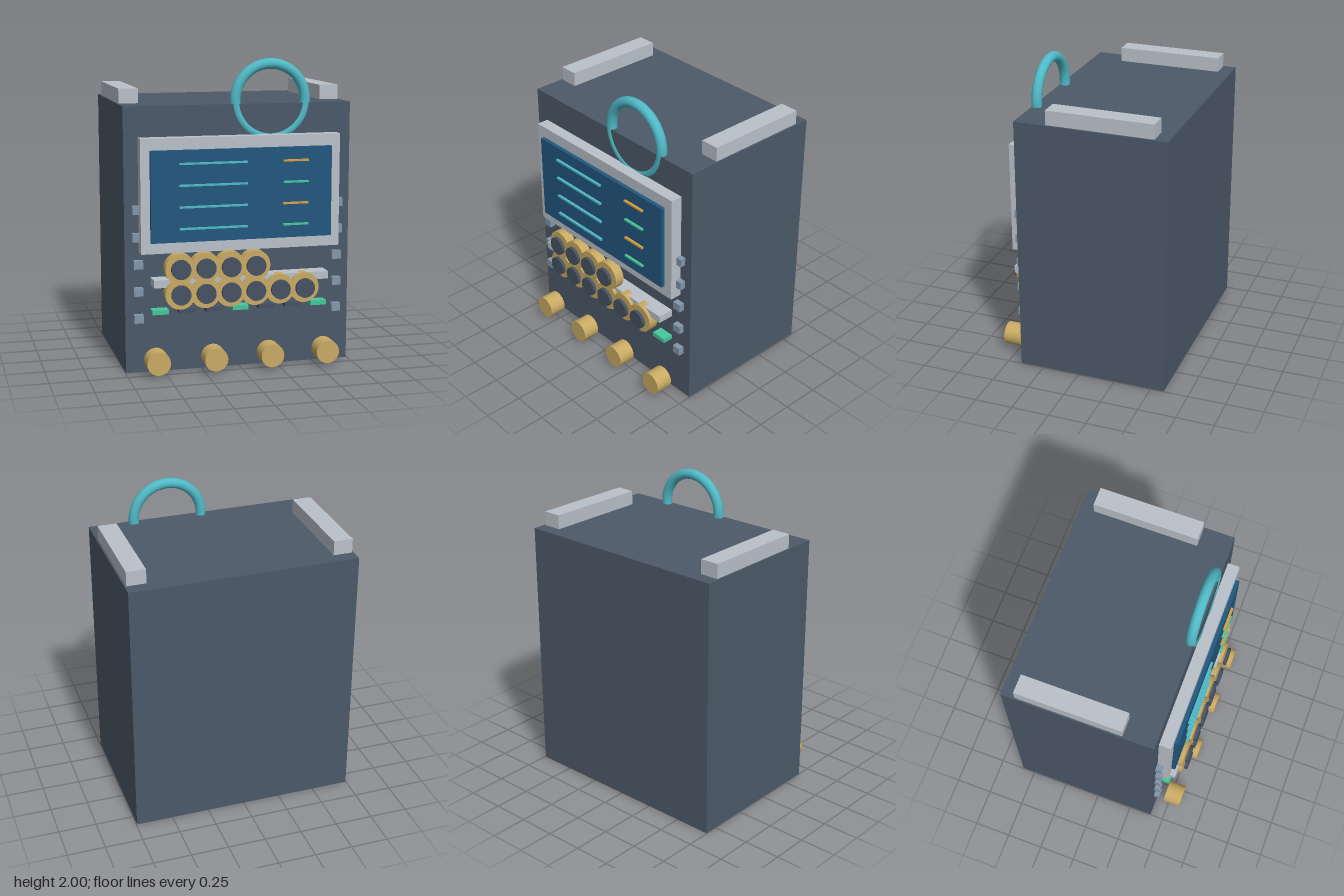
import * as THREE from 'three';

const paint = (name, color) => {
  const m = new THREE.MeshStandardMaterial({ color });
  m.name = name;
  return m;
};

export function createModel() {
  const slate = paint('slate casing', 0x4c5969);
  const silver = paint('silver trim', 0xbac1c9);
  const gold = paint('brushed gold', 0xc9aa63);
  const teal = paint('teal', 0x4fb9c6);
  const screenBlue = paint('screen blue', 0x22587f);
  const green = paint('green light', 0x45c79c);
  const amber = paint('amber light', 0xd6a040);
  const steel = paint('steel blue', 0x8296aa);
  const charcoal = paint('charcoal', 0x465264);

  const model = new THREE.Group();
  model.name = 'controlConsole';

  const group = (name) => {
    const g = new THREE.Group();
    g.name = name;
    model.add(g);
    return g;
  };
  const add = (parent, name, geometry, material, x, y, z) => {
    const mesh = new THREE.Mesh(geometry, material);
    mesh.name = name;
    mesh.position.set(x, y, z);
    parent.add(mesh);
    return mesh;
  };
  // Box given by its limits on each axis
  const box = (parent, name, material, [x0, x1], [y0, y1], [z0, z1]) =>
    add(parent, name, new THREE.BoxGeometry(x1 - x0, y1 - y0, z1 - z0), material,
      (x0 + x1) / 2, (y0 + y1) / 2, (z0 + z1) / 2);
  // Round disc facing the front
  const disc = (parent, name, material, radius, x, y, z0, z1) =>
    add(parent, name, new THREE.CylinderGeometry(radius, radius, z1 - z0, 32).rotateX(Math.PI / 2),
      material, x, y, (z0 + z1) / 2);

  const front = 0.408;

  // Casing and the two rails on its roof
  box(model, 'casing', slate, [-0.747, 0.745], [0, 1.715], [-0.588, front]);
  const rails = group('roofRails');
  for (const side of [-1, 1]) {
    const x = side * 0.672 - 0.002;
    box(rails, side < 0 ? 'rightRail' : 'leftRail', silver,
      [x - 0.063, x + 0.063], [1.71, 1.81], [-0.5, 0.2]);
  }

  // Ring handle, half sunk into the casing with its front edge showing
  add(model, 'ringHandle', new THREE.TorusGeometry(0.232, 0.034, 16, 64), teal, 0.214, 1.734, 0.381);

  // Screen, its frame and the readout lines
  const display = group('display');
  box(display, 'screenFrame', silver, [-0.655, 0.652], [0.788, 1.519], [front - 0.01, 0.488]);
  box(display, 'screen', screenBlue, [-0.595, 0.59], [0.86, 1.444], [0.48, 0.514]);
  for (let i = 0; i < 4; i++) {
    const y = 1.36 - i * 0.1375;
    box(display, 'longReadout', teal, [-0.415, 0.026], [y - 0.006, y + 0.006], [0.518, 0.535]);
    box(display, 'shortReadout', i % 2 ? green : amber,
      [0.262, 0.429], [y - 0.006, y + 0.006], [0.518, 0.535]);
  }

  // Column of small buttons down each side
  const buttons = group('sideButtons');
  for (const x of [-0.664, 0.656]) {
    for (let i = 0; i < 5; i++) {
      const y = 1.064 - i * 0.176;
      // The upper two sit a little further out, beside the frame
      const cx = x + (i < 2 ? Math.sign(x) * 0.006 : 0);
      box(buttons, 'sideButton', steel, [cx - 0.03, cx + 0.03], [y - 0.027, y + 0.027], [front - 0.01, 0.446]);
    }
  }

  // Two rows of dials in front of a silver bar
  const dials = group('dials');
  box(dials, 'dialBar', silver, [-0.58, 0.574], [0.573, 0.623], [front - 0.01, 0.516]);
  for (const [count, y] of [[4, 0.693], [6, 0.529]]) {
    for (let i = 0; i < count; i++) {
      const x = -0.413 + i * 0.1637;
      disc(dials, 'dialRim', gold, 0.098, x, y, 0.473, 0.538);
      disc(dials, 'dialFace', charcoal, 0.063, x, y, 0.547, 0.569);
    }
  }

  // Row of keys, every third one lit
  const keys = group('keys');
  for (let i = 0; i < 7; i++) {
    const x = -0.531 + i * 0.1757;
    box(keys, i % 3 ? 'plainKey' : 'litKey', i % 3 ? charcoal : green,
      [x - 0.053, x + 0.053], [0.39, 0.42], [front - 0.01, 0.479]);
  }

  // Large knobs along the bottom
  const knobs = group('bottomKnobs');
  for (let i = 0; i < 4; i++) {
    disc(knobs, 'bottomKnob', gold, 0.076, -0.564 + i * 0.374, 0.098, 0.468, 0.585);
  }

  return model;
}
